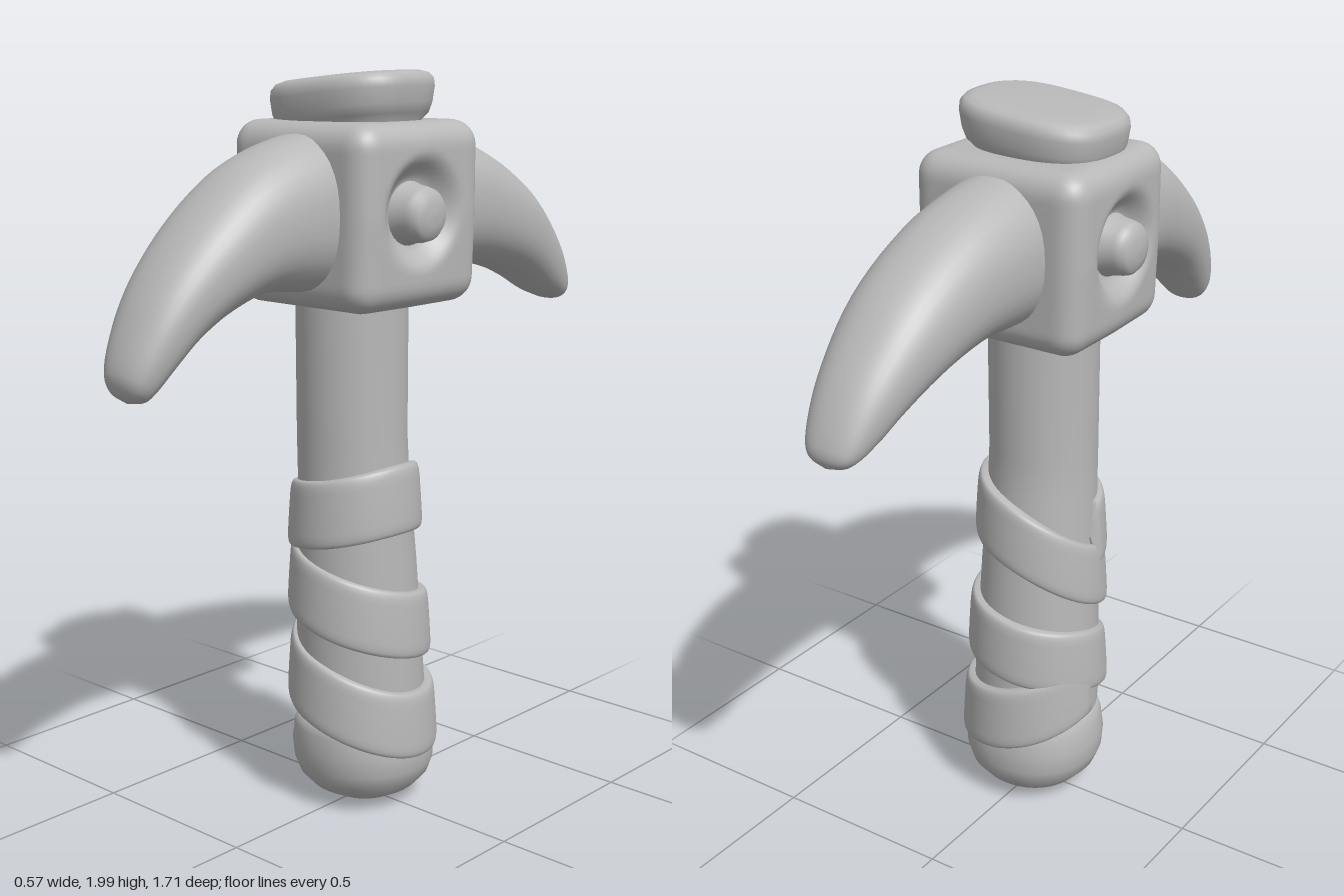
import * as THREE from 'three';
import { mergeVertices } from 'three/addons/utils/BufferGeometryUtils.js';

const V = (x, y, z = 0) => new THREE.Vector3(x, y, z);

// Skin a list of closed rings (right-handed about the travel direction)
function loft(rings) {
  const n = rings[0].length, index = [];
  for (let i = 0; i < rings.length - 1; i++) {
    for (let j = 0; j < n; j++) {
      const a = i * n + j, b = i * n + (j + 1) % n;
      index.push(a, b, a + n, b, b + n, a + n);
    }
  }
  const g = new THREE.BufferGeometry().setFromPoints(rings.flat());
  g.setIndex(index);
  g.computeVertexNormals();
  return g;
}

// Unit superellipse: power 1 is a circle, smaller is squarer
function oval(n, power) {
  return Array.from({ length: n }, (_, i) => {
    const a = i / n * Math.PI * 2, c = Math.cos(a), s = Math.sin(a);
    return [Math.sign(c) * Math.abs(c) ** power, Math.sign(s) * Math.abs(s) ** power];
  });
}

// The handle leans slightly forward and thins as it rises
const axisZ = y => 0.05 * Math.min(1, y / 1.05);
const wrapRadius = y => 0.215 - 0.042 * y;

// Upright solid from [y, halfX, halfZ] levels
function upright(levels, power, tilt = 0) {
  const unit = oval(48, power);
  return loft(levels.map(([y, rx, rz]) => unit.map(([c, s]) =>
    V(0.003 + rx * c, y + tilt * rx * c, axisZ(y) - rz * s))));
}

// Curved horn from [topZ, topY, bottomZ, bottomY, halfWidth] sections
function horn(sections, side) {
  const top = new THREE.CatmullRomCurve3(sections.map(s => V(s[0], s[1], s[4])));
  const low = new THREE.CatmullRomCurve3(sections.map(s => V(s[2], s[3], s[4])));
  const unit = oval(36, 0.88), rings = [];
  for (let i = 0; i <= 40; i++) {
    const t = top.getPoint(i / 40), b = low.getPoint(i / 40), w = Math.max(0, t.z);
    rings.push(unit.map(([c, s]) => V(
      side * w * c,
      (t.y + b.y) / 2 + (t.y - b.y) / 2 * s,
      side * ((t.x + b.x) / 2 + (t.x - b.x) / 2 * s))));
  }
  return loft(rings);
}

// Rounded head block with dished cheeks
function headBlock() {
  const h = V(0.25, 0.235, 0.228), r = 0.065;
  const inner = h.clone().subScalar(r), p = V(0, 0, 0);
  let g = new THREE.BoxGeometry(h.x * 2, h.y * 2, h.z * 2, 32, 32, 32);
  g.deleteAttribute('uv');
  g.deleteAttribute('normal');
  g = mergeVertices(g);
  const pos = g.attributes.position;
  for (let i = 0; i < pos.count; i++) {
    p.fromBufferAttribute(pos, i);
    const cheek = Math.abs(p.x) > h.x - 0.001 ? Math.sign(p.x) : 0;
    const core = p.clone().clamp(inner.clone().negate(), inner);
    p.sub(core).normalize().multiplyScalar(r).add(core);
    const d = Math.hypot(p.y - 0.01, p.z - 0.01);
    p.x -= cheek * 0.05 * (1 - THREE.MathUtils.smoothstep(d, 0.075, 0.15));
    p.x *= 1 - 0.22 * Math.max(0, p.z) - 0.15 * Math.max(0, -p.y);
    pos.setXYZ(i, p.x, p.y, p.z);
  }
  g.computeVertexNormals();
  return g;
}

// Wrapped strap: a flat band spiralling down the handle, a quarter turn per height
function strap(heights, startTurn) {
  const path = new THREE.CatmullRomCurve3(heights.map((y, i) => V(i, y)));
  const unit = oval(24, 0.4), steps = (heights.length - 1) * 16, rings = [];
  for (let i = 0; i <= steps; i++) {
    const y = path.getPoint(i / steps).y;
    const a = (startTurn + i / 16) * Math.PI / 2;
    const end = i === 0 || i === steps ? 0.01 : 1;
    rings.push(unit.map(([c, s]) => {
      const radius = wrapRadius(y) - 0.024 + 0.024 * s * end - 0.006 * c;
      return V(0.005 + Math.sin(a) * radius, y + 0.092 * c * end, axisZ(y) + Math.cos(a) * radius);
    }));
  }
  return loft(rings);
}

export function createModel() {
  const group = new THREE.Group();
  const grey = new THREE.MeshStandardMaterial({ color: 0xb8b8b8 });
  grey.name = 'plain grey';
  const add = (name, geometry) => {
    const mesh = new THREE.Mesh(geometry, grey);
    mesh.name = name;
    group.add(mesh);
    return mesh;
  };

  // Handle, with its rounded foot and flared top
  add('shaft', upright([[0.1, 0.17, 0.17], [0.3, 0.178, 0.178], [0.7, 0.163, 0.163],
    [0.94, 0.15, 0.15], [1.05, 0.148, 0.148], [1.4, 0.148, 0.15], [1.9, 0.15, 0.15]], 1));
  add('pommel', upright([[0.005, 0, 0], [0.008, 0.05, 0.05], [0.02, 0.1, 0.1], [0.045, 0.145, 0.145],
    [0.08, 0.178, 0.175], [0.12, 0.194, 0.187], [0.17, 0.197, 0.189], [0.22, 0.188, 0.183],
    [0.26, 0.175, 0.172], [0.27, 0, 0]], 0.95));
  add('handleTop', upright([[1.8, 0.16, 0.13], [1.86, 0.178, 0.145], [1.875, 0.194, 0.158],
    [1.9, 0.203, 0.166], [1.94, 0.21, 0.169], [1.96, 0.208, 0.166], [1.974, 0.197, 0.155],
    [1.981, 0.175, 0.135], [1.983, 0.1, 0.08], [1.983, 0, 0]], 0.72, 0.1));

  // Strap: starts on the right side, then winds down to the foot
  add('strap', strap([0.81, 0.85, 0.89, 0.84, 0.70, 0.62, 0.54, 0.5, 0.44, 0.35, 0.255, 0.28, 0.38], -1));

  // Head block
  add('headBlock', headBlock()).position.set(0, 1.638, 0.036);

  // Round studs in the cheeks
  const profile = [[0.085, 0], [0.074, 0.03], [0.071, 0.055], [0.066, 0.073], [0.054, 0.085],
    [0.03, 0.092], [0, 0.094]].map(([x, y]) => new THREE.Vector2(x, y));
  for (const side of [1, -1]) {
    const stud = add(side > 0 ? 'leftStud' : 'rightStud',
      new THREE.LatheGeometry(profile, 32).rotateZ(-side * Math.PI / 2));
    stud.position.set(side * 0.19, 1.645, 0.05);
  }

  // Horns
  add('frontHorn', horn([[0.1, 1.85, 0.1, 1.44, 0.16], [0.28, 1.84, 0.26, 1.45, 0.16],
    [0.46, 1.78, 0.42, 1.46, 0.153], [0.62, 1.665, 0.55, 1.425, 0.14], [0.74, 1.54, 0.645, 1.375, 0.12],
    [0.81, 1.43, 0.715, 1.315, 0.1], [0.853, 1.32, 0.77, 1.262, 0.073], [0.846, 1.275, 0.79, 1.247, 0.05],
    [0.82, 1.246, 0.82, 1.246, 0]], 1));
  add('backHorn', horn([[0.05, 1.85, 0.05, 1.46, 0.16], [0.2, 1.84, 0.19, 1.465, 0.16],
    [0.4, 1.79, 0.37, 1.468, 0.153], [0.605, 1.68, 0.55, 1.43, 0.138], [0.735, 1.56, 0.66, 1.385, 0.115],
    [0.805, 1.47, 0.735, 1.345, 0.095], [0.852, 1.375, 0.79, 1.325, 0.07], [0.855, 1.345, 0.815, 1.317, 0.048],
    [0.842, 1.32, 0.842, 1.32, 0]], -1));

  return group;
}
